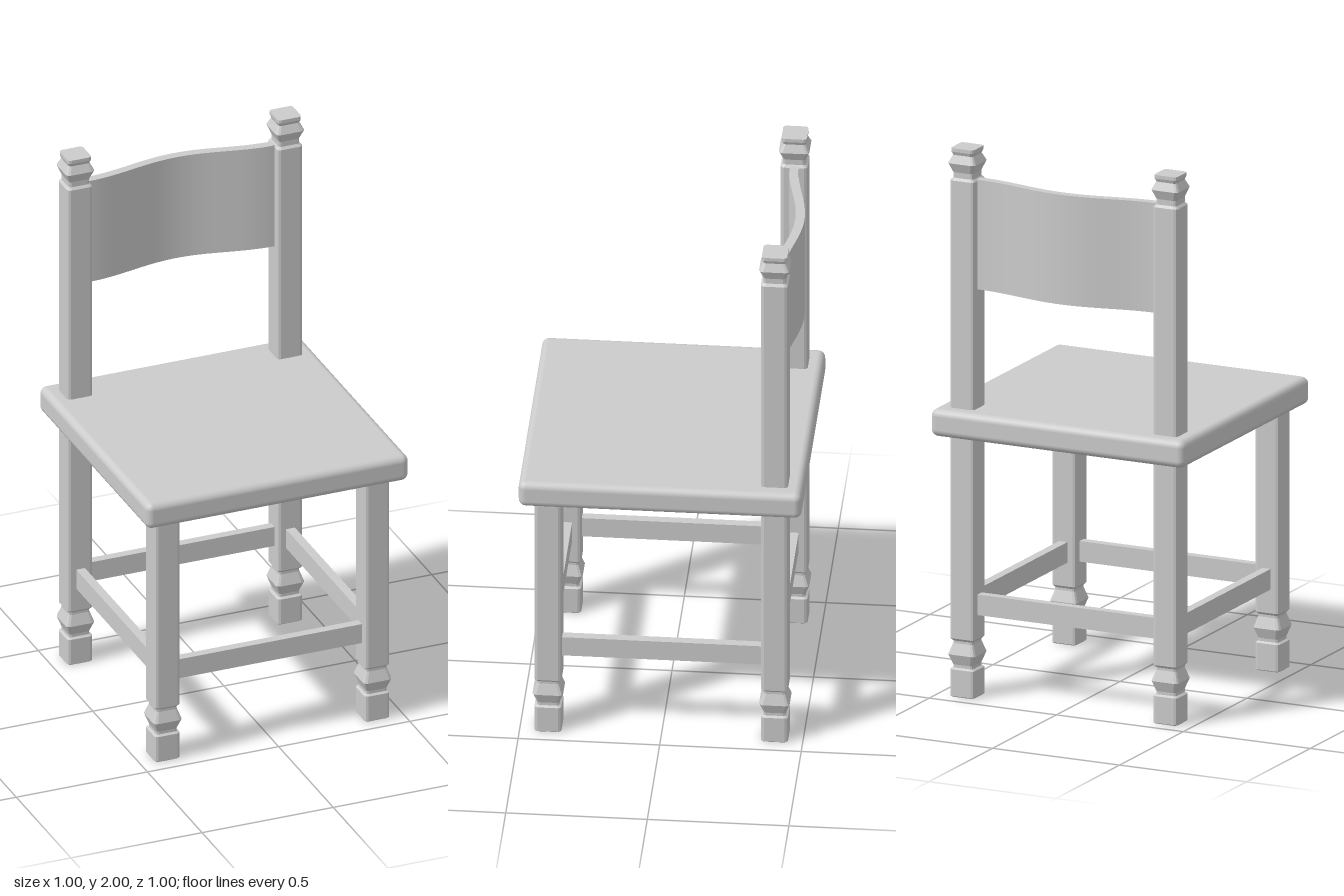
import * as THREE from 'three';
import { RoundedBoxGeometry } from 'three/addons/geometries/RoundedBoxGeometry.js';

const flat = new THREE.MeshStandardMaterial({ color: 0xcccccc, flatShading: true });
const smooth = new THREE.MeshStandardMaterial({ color: 0xcccccc });

// Square post with softened corners, lofted through [halfWidth, y] sections
function postGeometry(profile) {
  const positions = [], index = [], n = 12;
  for (const [h, y] of profile) {
    const r = h * 0.25;
    for (let i = 0; i < n; i++) {
      const corner = Math.floor(i / 3);
      const mid = Math.PI / 4 + corner * Math.PI / 2;
      const a = corner * Math.PI / 2 + (i % 3) * Math.PI / 4;
      positions.push(
        Math.sign(Math.cos(mid)) * (h - r) + r * Math.cos(a), y,
        Math.sign(Math.sin(mid)) * (h - r) + r * Math.sin(a));
    }
  }
  for (let s = 0; s < profile.length - 1; s++) {
    for (let i = 0; i < n; i++) {
      const a = s * n + i, b = s * n + (i + 1) % n;
      index.push(a, a + n, b, b, a + n, b + n);
    }
  }
  // End caps
  const top = (profile.length - 1) * n;
  for (let i = 1; i < n - 1; i++) {
    index.push(0, i, i + 1, top, top + i + 1, top + i);
  }
  const g = new THREE.BufferGeometry();
  g.setAttribute('position', new THREE.Float32BufferAttribute(positions, 3));
  g.setIndex(index);
  g.computeVertexNormals();
  return g;
}

export function createModel() {
  const chair = new THREE.Group();
  chair.name = 'chair';

  function add(name, geometry, x, y, z, material = flat) {
    const mesh = new THREE.Mesh(geometry, material);
    mesh.name = name;
    mesh.position.set(x, y, z);
    chair.add(mesh);
    return mesh;
  }

  // Seat slab with rounded edges
  add('seat', new RoundedBoxGeometry(1, 0.1, 1, 3, 0.026), 0, 1.004, 0, smooth);

  // Legs: block foot, diamond-shaped turning, square post; back posts end in finials
  const foot = [[0.045, 0], [0.048, 0.003], [0.048, 0.1], [0.04, 0.106], [0.04, 0.117],
    [0.054, 0.155], [0.04, 0.195], [0.04, 0.204], [0.048, 0.213]];
  const frontLeg = postGeometry([...foot, [0.048, 0.98]]);
  const backLeg = postGeometry([...foot, [0.048, 1.883], [0.04, 1.892], [0.04, 1.912],
    [0.054, 1.946], [0.04, 1.975], [0.045, 1.987], [0.045, 2]]);
  for (const side of [-1, 1]) {
    const label = side > 0 ? 'left' : 'right';
    add(label + 'FrontLeg', frontLeg, side * 0.4, 0, 0.4);
    add(label + 'BackLeg', backLeg, side * 0.4, 0, -0.4);
  }

  // Stretchers joining the legs on all four sides
  const stretcher = new THREE.BoxGeometry(0.72, 0.075, 0.033);
  for (const side of [-1, 1]) {
    add(side > 0 ? 'frontStretcher' : 'backStretcher', stretcher, 0, 0.338, side * 0.4);
    add(side > 0 ? 'leftStretcher' : 'rightStretcher', stretcher, side * 0.4, 0.338, 0)
      .rotation.y = Math.PI / 2;
  }

  // Backrest panel, bowed backwards along a cosine wave
  const back = new THREE.BoxGeometry(0.71, 0.4, 0.033, 32, 1, 1);
  const p = back.attributes.position;
  const nrm = back.attributes.normal;
  for (let i = 0; i < p.count; i++) {
    const k = Math.PI / 0.355;
    const x = p.getX(i);
    p.setZ(i, p.getZ(i) - 0.025 * (1 + Math.cos(k * x)));
    if (Math.abs(nrm.getZ(i)) > 0.5) {
      const slope = 0.025 * k * Math.sin(k * x);
      const s = Math.sign(nrm.getZ(i)) / Math.hypot(1, slope);
      nrm.setXYZ(i, -slope * s, 0, s);
    }
  }
  add('backrest', back, 0, 1.689, -0.4015, smooth);

  return chair;
}
